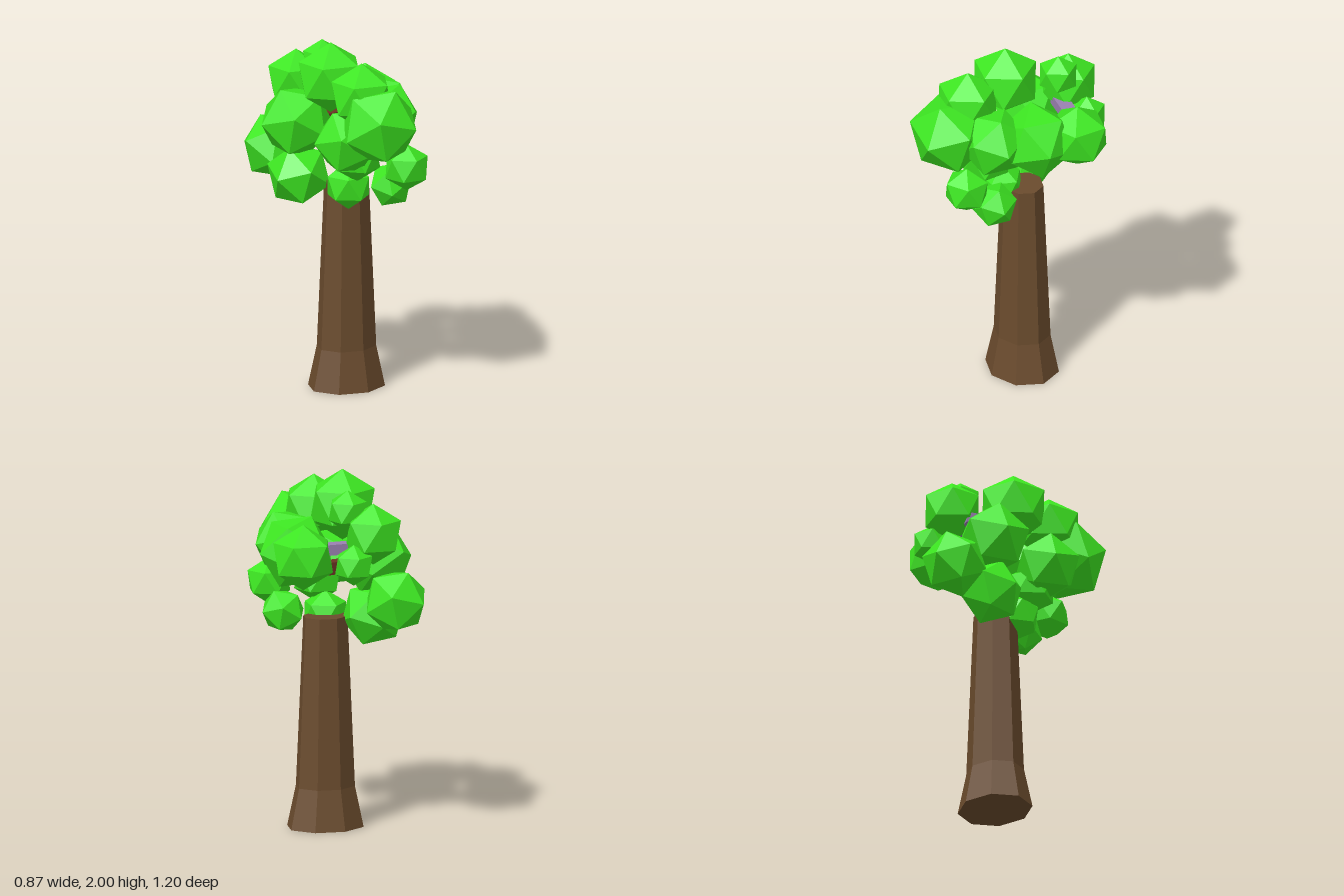
import * as THREE from 'three';

const flat = (name, color) => {
  const m = new THREE.MeshStandardMaterial({ color, flatShading: true });
  m.name = name;
  return m;
};

export function createModel() {
  const tree = new THREE.Group();
  tree.name = 'tree';
  const bark = flat('bark brown', 0x6a4b2d);
  const leaf = flat('leaf green', 0x3eea22);
  const twig = flat('twig brown', 0x6b3423);
  const mauve = flat('mauve', 0x9a80b0);

  const add = (name, geometry, material, x, y, z, parent = tree) => {
    const mesh = new THREE.Mesh(geometry, material);
    mesh.name = name;
    mesh.position.set(x, y, z);
    parent.add(mesh);
    return mesh;
  };

  // Eight-sided trunk with a flared foot
  const profile = [[0, 0], [0.228, 0], [0.176, 0.23], [0.132, 1.19], [0, 1.19]];
  const trunk = add('trunk', new THREE.LatheGeometry(profile.map(p => new THREE.Vector2(...p)), 8),
    bark, -0.006, 0, -0.02);
  trunk.scale.z = 0.87;

  // Leaf clumps: icosahedra tilted to point one corner up or outward, then turned
  const crown = new THREE.Group();
  crown.name = 'crown';
  tree.add(crown);
  const golden = (1 + Math.sqrt(5)) / 2;
  const cornerUp = -Math.atan(golden);
  const cornerOut = -Math.atan(1 / golden);
  const clump = (tilt, x, y, z, radius, degrees) => {
    const geometry = new THREE.IcosahedronGeometry(radius, 0).rotateX(tilt);
    add('leafClump', geometry, leaf, x, y, z, crown).rotation.y = THREE.MathUtils.degToRad(degrees);
  };

  // Top of the crown
  clump(cornerUp, -0.14, 1.80, 0.01, 0.20, 20);
  clump(cornerUp, -0.12, 1.745, 0.265, 0.187, 20);
  clump(cornerUp, 0.00, 1.82, -0.25, 0.118, 20);
  clump(cornerUp, -0.09, 1.70, -0.37, 0.172, 20);
  // Wide middle ring
  clump(cornerOut, -0.10, 1.60, 0.395, 0.23, 27);
  clump(cornerOut, 0.18, 1.57, 0.00, 0.215, 259);
  clump(cornerOut, 0.09, 1.58, 0.22, 0.195, 83);
  clump(cornerUp, 0.27, 1.58, -0.21, 0.185, 55);
  clump(cornerUp, 0.06, 1.545, -0.40, 0.115, 20);
  clump(cornerOut, -0.23, 1.52, -0.19, 0.21, 258);
  clump(cornerOut, -0.18, 1.48, 0.21, 0.19, 250);
  // Low clumps around the trunk top
  clump(cornerOut, -0.20, 1.32, -0.43, 0.188, 202);
  clump(cornerOut, -0.21, 1.21, -0.19, 0.185, 283);
  clump(cornerUp, 0.09, 1.33, 0.40, 0.133, 63);
  clump(cornerOut, 0.11, 1.19, 0.23, 0.128, 84);
  clump(cornerUp, -0.07, 1.18, 0.08, 0.135, 34);
  clump(cornerUp, -0.08, 1.37, 0.17, 0.145, 20);

  // Small pieces tucked inside the crown
  add('branch', new THREE.BoxGeometry(0.24, 0.07, 0.08), twig, 0.02, 1.5, -0.19);
  add('perch', new THREE.BoxGeometry(0.4, 0.06, 0.08), mauve, -0.035, 1.62, -0.285).rotation.y = -0.2;

  return tree;
}
